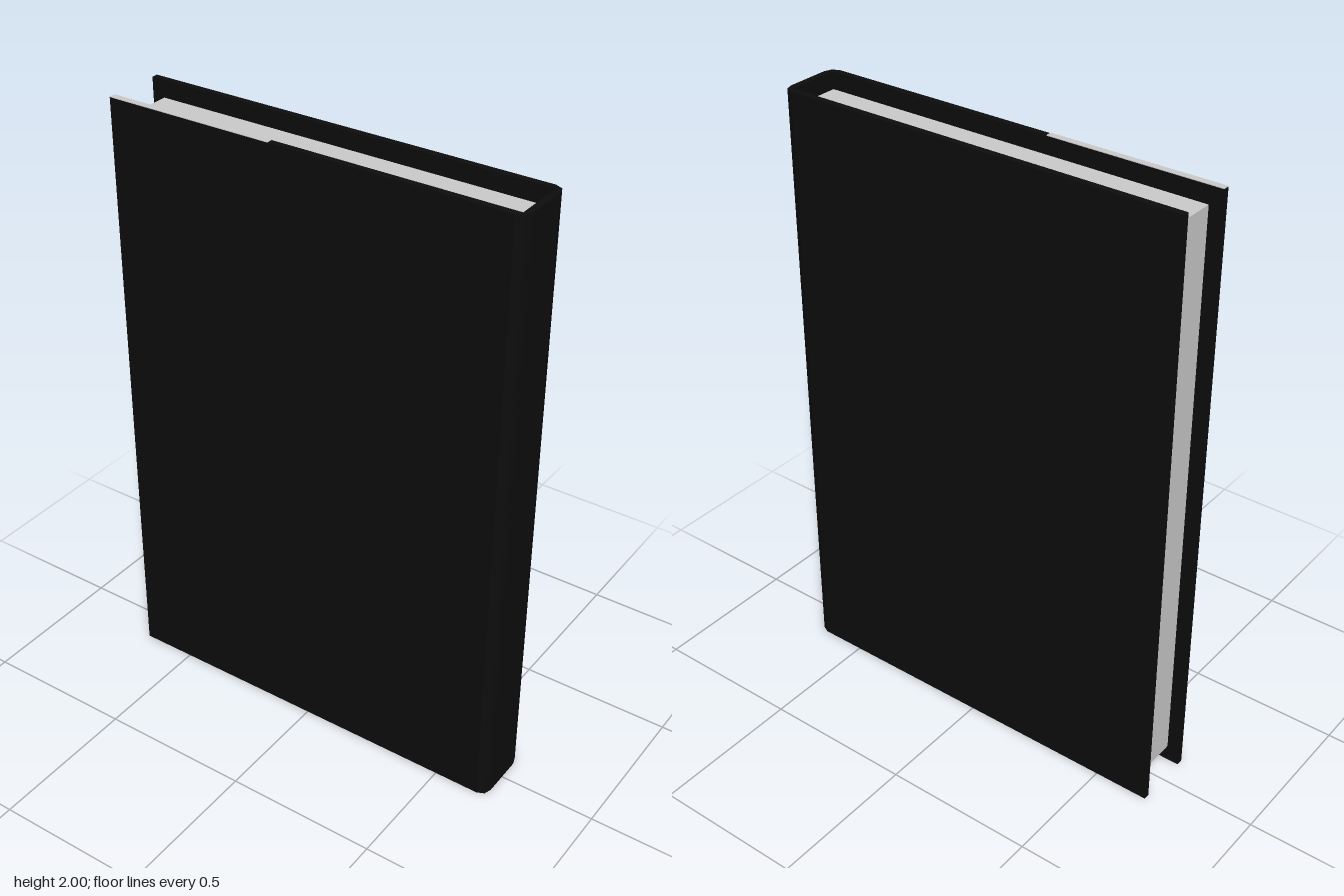
import * as THREE from 'three';

const W = 0.682, D = 0.106, BOARD = 0.021, HEIGHT = 2, INSET = 0.055;

export function createModel() {
  const black = new THREE.MeshStandardMaterial({ color: 0x0d0d0d });
  black.name = 'coverBlack';
  const paper = new THREE.MeshStandardMaterial({ color: 0xcccccc });
  paper.name = 'paperGrey';

  const book = new THREE.Group();
  book.name = 'book';
  const inner = D - BOARD, spineInner = W - BOARD;

  // Case: U-shaped section with softened spine corners, extruded upwards
  const half = [[-W, inner], [-W, D], [0.65, D], [0.674, 0.095], [W, 0.07]];
  const section = [
    [spineInner, inner],
    ...half,
    ...half.map(([x, z]) => [x, -z]).reverse(),
    [spineInner, -inner],
  ];
  const shape = new THREE.Shape(section.map(([x, z]) => new THREE.Vector2(x, z)));
  const caseGeometry = new THREE.ExtrudeGeometry(shape, { depth: HEIGHT, bevelEnabled: false });
  caseGeometry.rotateX(-Math.PI / 2);
  const cover = new THREE.Mesh(caseGeometry, black);
  cover.name = 'coverAndSpine';
  book.add(cover);

  // Page block, set back from the cover edges
  const pageLeft = -0.64;
  const pages = new THREE.Mesh(
    new THREE.BoxGeometry(spineInner - pageLeft, HEIGHT - 2 * INSET, 2 * inner), paper);
  pages.position.set((spineInner + pageLeft) / 2, HEIGHT / 2, 0);
  pages.name = 'pageBlock';
  book.add(pages);

  // Pale strip on the top edge of the front board
  const stripEnd = -0.12;
  const strip = new THREE.Mesh(new THREE.BoxGeometry(stripEnd + W, 0.002, BOARD), paper);
  strip.position.set((stripEnd - W) / 2, HEIGHT + 0.001, D - BOARD / 2);
  strip.name = 'topEdgeStrip';
  book.add(strip);

  return book;
}
